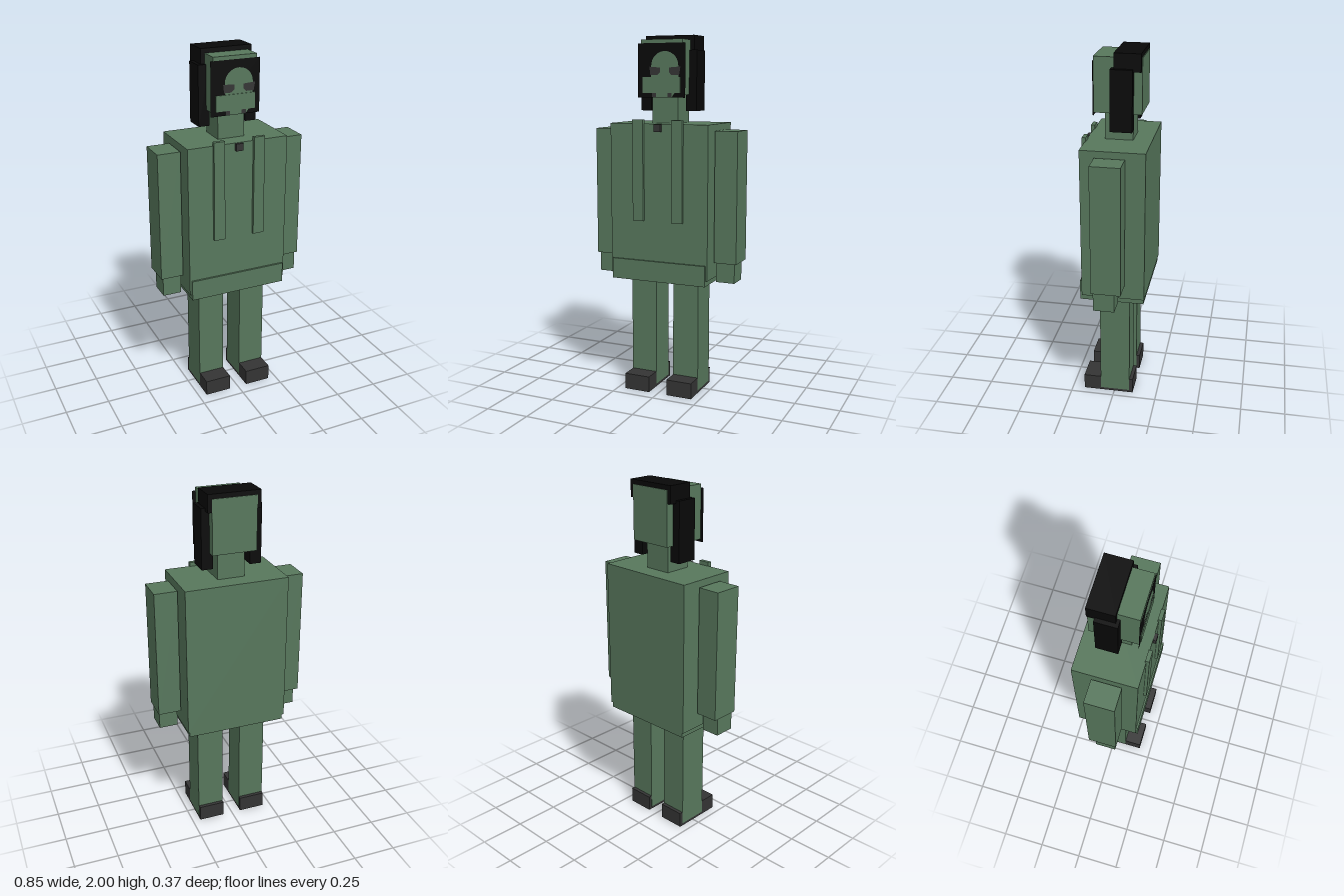
import * as THREE from 'three';

const mat = (name, color, extra = {}) => {
  const m = new THREE.MeshStandardMaterial({ color, ...extra });
  m.name = name;
  return m;
};

export function createModel() {
  const group = new THREE.Group();
  const green = mat('uniformGreen', 0x57775c, { side: THREE.DoubleSide });
  const black = mat('hairBlack', 0x080808, { side: THREE.DoubleSide });
  const grey = mat('darkGrey', 0x343434, { side: THREE.DoubleSide });

  const add = (name, geometry, material) => {
    const mesh = new THREE.Mesh(geometry, material);
    mesh.name = name;
    group.add(mesh);
    return mesh;
  };
  // Box given by its extents on each axis
  const box = (name, material, [x0, x1], [y0, y1], [z0, z1]) =>
    add(name, new THREE.BoxGeometry(x1 - x0, y1 - y0, z1 - z0), material)
      .position.set((x0 + x1) / 2, (y0 + y1) / 2, (z0 + z1) / 2);
  // The same box on both sides of the body
  const pair = (name, material, [x0, x1], y, z) => {
    box(name + 'Left', material, [x0, x1], y, z);
    box(name + 'Right', material, [-x1, -x0], y, z);
  };
  // Flat painted face detail
  const plate = (name, material, points, z) => {
    const shape = new THREE.Shape(points.map(([x, y]) => new THREE.Vector2(x, y)));
    add(name, new THREE.ShapeGeometry(shape), material).position.z = z;
  };

  // Jacket
  box('torso', green, [-0.29, 0.29], [0.68, 1.525], [-0.184, 0.165]);
  box('jacketHem', green, [-0.28, 0.28], [0.65, 0.765], [-0.18, 0.176]);
  pair('strap', green, [0.085, 0.148], [0.99, 1.547], [0.16, 0.182]);
  box('collarButton', grey, [-0.02, 0.02], [1.483, 1.523], [0.16, 0.182]);

  // Limbs
  pair('sleeve', green, [0.298, 0.426], [0.768, 1.49], [-0.078, 0.084]);
  pair('hand', green, [0.309, 0.414], [0.66, 0.78], [-0.042, 0.075]);
  pair('leg', green, [0.053, 0.205], [0.015, 0.67], [-0.09, 0.081]);
  pair('shoe', grey, [0.054, 0.204], [0, 0.09], [-0.11, 0.18]);

  // Head
  box('neck', green, [-0.077, 0.077], [1.52, 1.69], [-0.083, 0.07]);
  box('head', green, [-0.123, 0.123], [1.68, 1.975], [-0.137, 0.12]);
  box('jawPlate', green, [-0.112, 0.112], [1.69, 1.775], [0.118, 0.126]);

  // Hair
  box('hairCap', black, [-0.145, 0.145], [1.905, 2], [-0.133, 0.01]);
  pair('hairSide', black, [0.104, 0.167], [1.592, 1.92], [-0.092, 0.026]);

  // Face: dark panel, arched skin area, eyes and chin marks
  plate('facePanel', black, [[-0.14, 1.665], [0.14, 1.665], [0.14, 1.955], [-0.14, 1.955]], 0.1212);
  const arch = [[-0.05, 1.665], [0.06, 1.665], [0.1, 1.72]];
  for (let i = 0; i <= 14; i++) {
    const a = (i / 14) * Math.PI;
    arch.push([0.02 + 0.08 * Math.cos(a), 1.835 + 0.077 * Math.sin(a)]);
  }
  arch.push([-0.06, 1.72]);
  plate('skin', green, arch, 0.1224);
  plate('eyeRight', grey, [[-0.065, 1.785], [-0.025, 1.785], [-0.006, 1.8], [-0.006, 1.825], [-0.07, 1.83]], 0.1236);
  plate('eyeLeft', grey, [[0.06, 1.785], [0.105, 1.785], [0.113, 1.83], [0.045, 1.825], [0.045, 1.8]], 0.1236);
  plate('chinMarkRight', grey, [[-0.055, 1.668], [-0.032, 1.668], [-0.032, 1.692], [-0.055, 1.692]], 0.1236);
  plate('chinMarkLeft', grey, [[0.036, 1.668], [0.062, 1.668], [0.062, 1.692], [0.036, 1.692]], 0.1236);

  return group;
}
